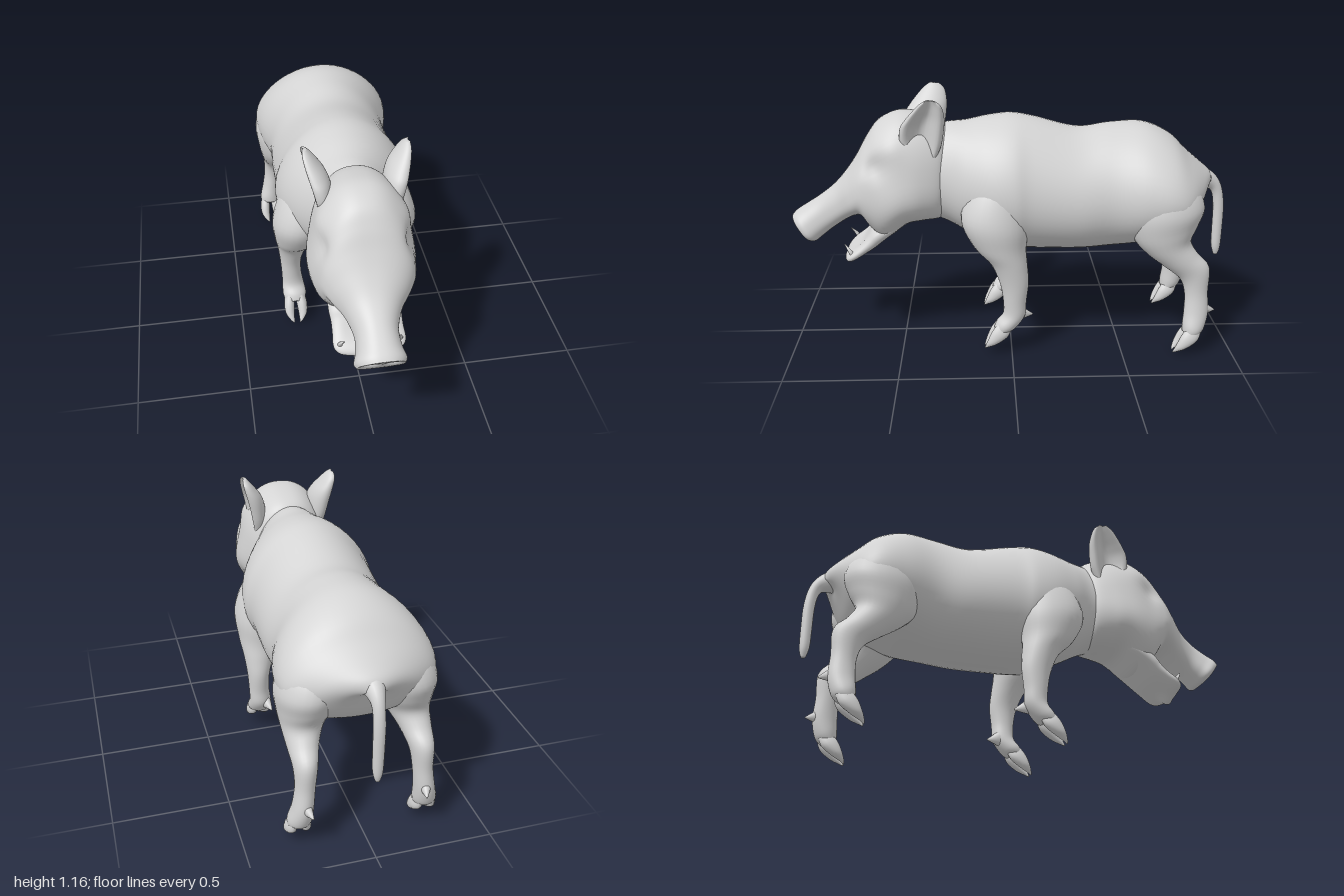
import * as THREE from 'three';

const hide = new THREE.MeshStandardMaterial({ color: 0xd4d4d4 });
hide.name = 'grey hide';

// Smooth interpolation through a list of number rows
function sample(rows, t) {
  const f = t * (rows.length - 1);
  const i = Math.min(Math.floor(f), rows.length - 2), s = f - i;
  const at = k => rows[Math.max(0, Math.min(rows.length - 1, k))];
  const [a, b, c, d] = [at(i - 1), at(i), at(i + 1), at(i + 2)];
  return b.map((_, k) => b[k] + 0.5 * s * (c[k] - a[k] + s * (2 * a[k] - 5 * b[k] + 4 * c[k] - d[k]
    + s * (3 * (b[k] - c[k]) + d[k] - a[k]))));
}

// Skin over cross-sections [z1, y1, z2, y2, halfWidth, centreX]: each oval spans
// from point 1 to point 2 in the side plane and is halfWidth wide either way.
function loft(sections, { seg = 28, steps = 5, bias = 0, power = 1, cup = 0, capRings = 0, deform } = {}) {
  const rows = sections.map(r => [...r, 0].slice(0, 6));
  const rings = [];
  const n = (rows.length - 1) * steps;
  for (let i = 0; i <= n; i++) rings.push([sample(rows, i / n), 1]);
  for (let i = 1; i <= capRings; i++) rings.push([rows[rows.length - 1], 1 - i / (capRings + 1)]);
  const pos = [], idx = [];
  const put = (x, y, z) => {
    const p = new THREE.Vector3(x, y, z);
    if (deform) deform(p);
    pos.push(p.x, p.y, p.z);
  };
  const soft = v => Math.sign(v) * Math.abs(v) ** power;
  for (const [[z1, y1, z2, y2, w, cx], k] of rings) {
    for (let j = 0; j < seg; j++) {
      const a = j / seg * Math.PI * 2;
      const c = soft(Math.cos(a)) * k;
      let s = soft(Math.sin(a)) * k * (1 - bias * c);
      if (s > 0) s *= 1 - cup * s ** 4;
      put(cx + w * s, (y1 + y2) / 2 + (y1 - y2) / 2 * c, (z1 + z2) / 2 + (z1 - z2) / 2 * c);
    }
  }
  const last = rings.length - 1;
  for (let i = 0; i < last; i++) {
    for (let j = 0; j < seg; j++) {
      const a = i * seg + j, b = i * seg + (j + 1) % seg;
      idx.push(a, b, a + seg, b, b + seg, a + seg);
    }
  }
  // end caps
  for (const [ring, flip] of [[0, true], [last, false]]) {
    const [z1, y1, z2, y2, , cx] = rings[ring][0];
    const centre = pos.length / 3;
    put(cx, (y1 + y2) / 2, (z1 + z2) / 2);
    for (let j = 0; j < seg; j++) {
      const a = ring * seg + j, b = ring * seg + (j + 1) % seg;
      flip ? idx.push(b, a, centre) : idx.push(a, b, centre);
    }
  }
  // make the faces point outwards
  let volume = 0;
  const A = new THREE.Vector3(), B = new THREE.Vector3(), C = new THREE.Vector3();
  for (let i = 0; i < idx.length; i += 3) {
    A.fromArray(pos, idx[i] * 3); B.fromArray(pos, idx[i + 1] * 3); C.fromArray(pos, idx[i + 2] * 3);
    volume += A.dot(B.cross(C));
  }
  if (volume < 0) idx.reverse();
  const g = new THREE.BufferGeometry();
  g.setAttribute('position', new THREE.Float32BufferAttribute(pos, 3));
  g.setIndex(idx);
  g.computeVertexNormals();
  return g;
}

function mirrored(geometry) {
  const g = geometry.clone().scale(-1, 1, 1);
  g.setIndex(Array.from(g.index.array).reverse());
  g.computeVertexNormals();
  return g;
}

// Soft falloff around a point, the same on both sides
const near = (p, x, y, z, r) =>
  Math.exp(-((Math.abs(p.x) - x) ** 2 + (p.y - y) ** 2 + (p.z - z) ** 2) / (r * r));

export function createModel() {
  const model = new THREE.Group();
  const add = (name, geometry) => {
    const m = new THREE.Mesh(geometry, hide);
    m.name = name;
    model.add(m);
  };
  const pair = (name, geometry) => {
    add(name + 'Left', geometry);
    add(name + 'Right', mirrored(geometry));
  };

  // Torso from neck to rump, swelling low at the shoulders and hips
  add('body', loft([
    [0.45, 0.98, 0.45, 0.62, 0.14], [0.30, 1.02, 0.30, 0.57, 0.175], [0.20, 1.03, 0.20, 0.52, 0.235],
    [0.10, 1.05, 0.08, 0.465, 0.285], [0, 1.06, -0.02, 0.445, 0.30], [-0.10, 1.045, -0.10, 0.438, 0.287],
    [-0.30, 0.995, -0.30, 0.435, 0.285], [-0.45, 1.012, -0.45, 0.445, 0.28], [-0.60, 1.015, -0.58, 0.465, 0.315],
    [-0.72, 0.965, -0.68, 0.50, 0.325], [-0.80, 0.89, -0.76, 0.53, 0.298], [-0.87, 0.83, -0.81, 0.58, 0.22],
    [-0.915, 0.79, -0.85, 0.65, 0.12], [-0.93, 0.75, -0.875, 0.70, 0.05],
  ], { seg: 48, bias: 0.13 }));

  // Head with brow, eye hollows, heavy cheeks and a flat snout with nostrils
  add('head', loft([
    [0.27, 0.99, 0.30, 0.63, 0.12], [0.31, 1.035, 0.32, 0.585, 0.17], [0.40, 1.065, 0.40, 0.575, 0.2],
    [0.50, 1.075, 0.47, 0.56, 0.208], [0.59, 1.035, 0.565, 0.495, 0.202], [0.645, 0.965, 0.63, 0.545, 0.195],
    [0.69, 0.885, 0.67, 0.605, 0.183], [0.74, 0.81, 0.705, 0.605, 0.156], [0.80, 0.74, 0.75, 0.58, 0.114],
    [0.87, 0.685, 0.815, 0.535, 0.088], [0.94, 0.64, 0.86, 0.50, 0.092], [0.98, 0.614, 0.89, 0.477, 0.104],
    [1.0, 0.595, 0.91, 0.475, 0.095],
  ], {
    seg: 64, steps: 6, bias: 0.14, power: 0.84, capRings: 10,
    deform(p) {
      const side = Math.sign(p.x);
      p.x += side * (0.012 * near(p, 0.17, 0.94, 0.54, 0.06) - 0.02 * near(p, 0.18, 0.855, 0.6, 0.05)
        + 0.022 * near(p, 0.2, 0.665, 0.48, 0.11));
      const nostril = 0.035 * near(p, 0.042, 0.535, 0.955, 0.024);
      p.z -= nostril * 0.8;
      p.y += nostril * 0.6;
    },
  }));

  // Open lower jaw, hollowed on top and pointed at the chin
  add('lowerJaw', loft([
    [0.44, 0.68, 0.40, 0.62, 0.12], [0.54, 0.61, 0.50, 0.545, 0.15], [0.62, 0.565, 0.575, 0.487, 0.155],
    [0.655, 0.525, 0.61, 0.46, 0.15], [0.69, 0.488, 0.65, 0.435, 0.15], [0.735, 0.45, 0.705, 0.402, 0.152],
    [0.758, 0.425, 0.735, 0.39, 0.125], [0.765, 0.407, 0.75, 0.39, 0.06],
  ], {
    seg: 48, power: 0.85,
    deform(p) {
      p.y -= 0.022 * Math.exp(-((p.x / 0.1) ** 4)) * near(p, Math.abs(p.x), 0.5, 0.69, 0.06);
      p.y -= 0.025 * near(p, 0, 0.39, 0.735, 0.035);
    },
  }));
  pair('tusk', loft([
    [0.73, 0.43, 0.705, 0.43, 0.012, 0.125], [0.742, 0.455, 0.725, 0.458, 0.009, 0.125],
    [0.757, 0.482, 0.753, 0.484, 0.002, 0.112],
  ], { seg: 10 }));

  // Cupped ears opening outwards
  pair('ear', loft([
    [0.45, 0.91, 0.33, 0.89, 0.04, 0.145], [0.485, 0.97, 0.305, 0.95, 0.05, 0.152],
    [0.482, 1.03, 0.292, 1.02, 0.054, 0.164], [0.458, 1.07, 0.288, 1.07, 0.05, 0.178],
    [0.425, 1.11, 0.292, 1.11, 0.038, 0.195], [0.395, 1.142, 0.302, 1.138, 0.026, 0.207],
    [0.365, 1.162, 0.325, 1.158, 0.013, 0.212],
  ], { seg: 36, cup: 1.4 }));

  // Legs: shoulder or thigh running down to the ankle
  pair('frontLeg', loft([
    [0.12, 0.86, -0.02, 0.86, 0.07, 0.13], [0.19, 0.76, -0.06, 0.76, 0.105, 0.175],
    [0.225, 0.63, -0.075, 0.61, 0.122, 0.205], [0.17, 0.51, -0.065, 0.50, 0.10, 0.22],
    [0.095, 0.43, -0.07, 0.42, 0.073, 0.235], [0.055, 0.34, -0.075, 0.34, 0.053, 0.245],
    [0.04, 0.26, -0.065, 0.25, 0.047, 0.245], [0.04, 0.19, -0.06, 0.18, 0.05, 0.24],
    [0.068, 0.15, -0.02, 0.122, 0.056, 0.237], [0.08, 0.12, 0.012, 0.10, 0.048, 0.237],
  ]));
  pair('hindLeg', loft([
    [-0.61, 0.86, -0.73, 0.84, 0.07, 0.13], [-0.55, 0.77, -0.82, 0.77, 0.12, 0.175],
    [-0.52, 0.65, -0.855, 0.68, 0.13, 0.203], [-0.54, 0.54, -0.83, 0.60, 0.115, 0.21],
    [-0.60, 0.47, -0.80, 0.53, 0.088, 0.225], [-0.68, 0.41, -0.83, 0.47, 0.066, 0.238],
    [-0.755, 0.35, -0.885, 0.405, 0.05, 0.245], [-0.78, 0.28, -0.885, 0.29, 0.042, 0.25],
    [-0.78, 0.20, -0.89, 0.19, 0.045, 0.26], [-0.775, 0.14, -0.87, 0.112, 0.052, 0.27],
    [-0.775, 0.105, -0.84, 0.082, 0.046, 0.272],
  ]));

  // Cloven hooves, with a small spur behind each ankle
  for (const [name, x, y, z] of [['front', 0.237, 0, 0], ['hind', 0.272, -0.02, -0.857]]) {
    for (const side of [-1, 1]) {
      pair(name + (side > 0 ? 'Outer' : 'Inner') + 'Toe', loft([
        [0.06, 0.15, 0, 0.125, 0.018, side * 0.024], [0.09, 0.11, 0.018, 0.085, 0.025, side * 0.03],
        [0.11, 0.065, 0.065, 0.05, 0.021, side * 0.031], [0.121, 0.035, 0.104, 0.03, 0.01, side * 0.022],
        [0.124, 0.022, 0.118, 0.021, 0.003, side * 0.015],
      ], { seg: 16 }).translate(x, y, z));
    }
    pair(name + 'Spur', loft([
      [-0.02, 0.24, -0.02, 0.14, 0.03, -0.01], [-0.06, 0.20, -0.05, 0.15, 0.02, -0.02],
      [-0.098, 0.168, -0.095, 0.162, 0.003, -0.032],
    ], { seg: 14 }).translate(x, z ? 0.025 : 0, z ? z + 0.03 : 0));
  }

  // Hanging tail
  add('tail', loft([
    [-0.86, 0.82, -0.83, 0.70, 0.07], [-0.935, 0.775, -0.905, 0.70, 0.038], [-0.978, 0.715, -0.935, 0.68, 0.026],
    [-0.997, 0.62, -0.948, 0.61, 0.025], [-0.998, 0.50, -0.95, 0.50, 0.024], [-0.995, 0.41, -0.952, 0.42, 0.021],
    [-0.985, 0.37, -0.965, 0.372, 0.01],
  ], { seg: 16 }));

  return model;
}
